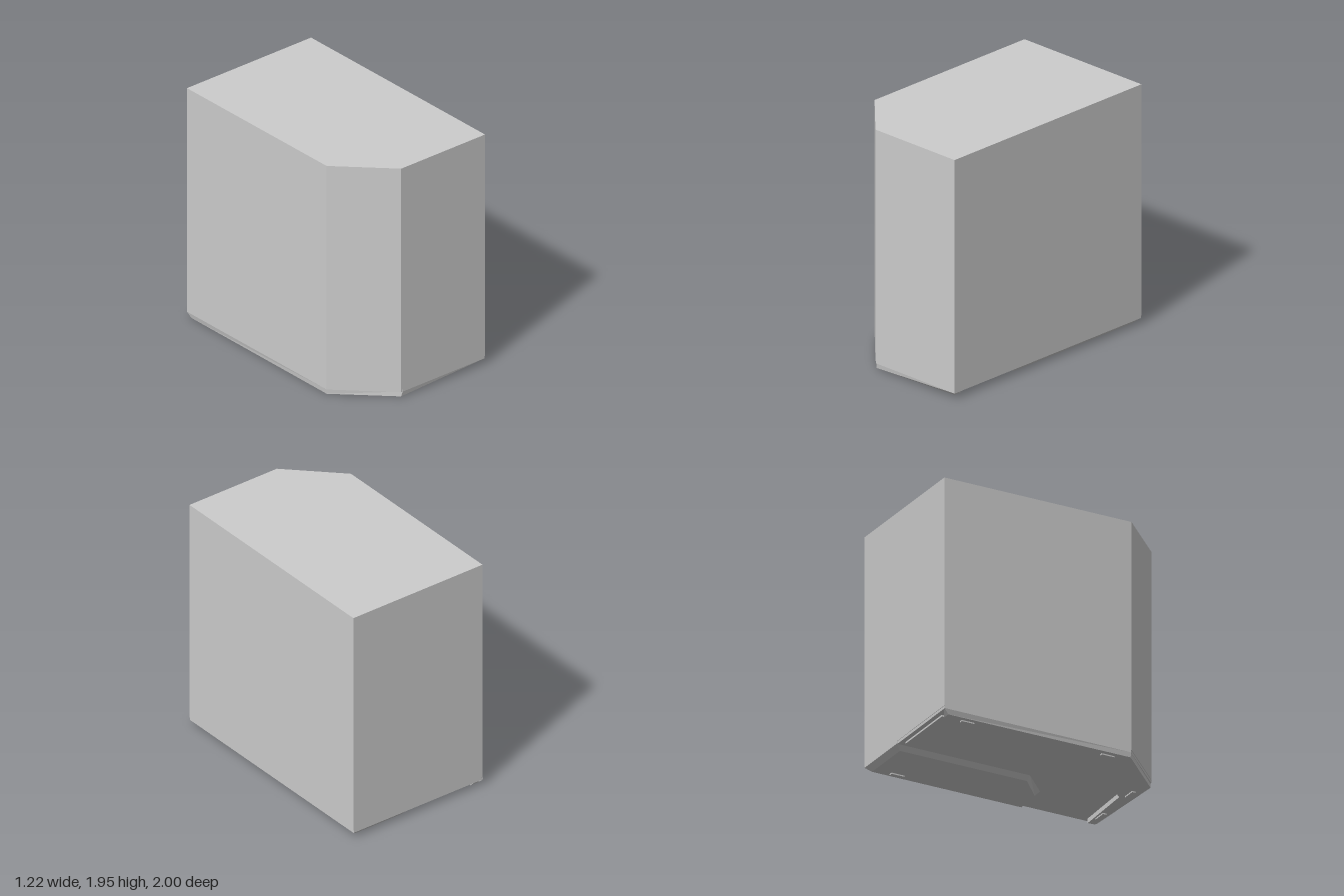
import * as THREE from 'three';

const material = new THREE.MeshStandardMaterial({ color: 0xcccccc, flatShading: true });

function add(group, name, geometry) {
  const mesh = new THREE.Mesh(geometry, material);
  mesh.name = name;
  group.add(mesh);
  return mesh;
}

// Upright prism from an outline in x and z
function prism(outline, bottom, top) {
  const shape = new THREE.Shape(outline.map(([x, z]) => new THREE.Vector2(x, z)));
  const geometry = new THREE.ExtrudeGeometry(shape, { depth: top - bottom, bevelEnabled: false });
  return geometry.rotateX(Math.PI / 2).translate(0, top, 0);
}

// Skin over convex cross-sections, closed at both ends
function loft(rings) {
  const pos = [];
  const tri = (a, b, c) => pos.push(...a, ...b, ...c);
  const n = rings[0].length;
  for (let i = 0; i < rings.length - 1; i++) {
    const p = rings[i], q = rings[i + 1];
    for (let j = 0; j < n; j++) {
      const k = (j + 1) % n;
      tri(p[j], q[j], q[k]);
      tri(p[j], q[k], p[k]);
    }
  }
  const first = rings[0], last = rings[rings.length - 1];
  for (let j = 1; j < n - 1; j++) {
    tri(first[0], first[j], first[j + 1]);
    tri(last[0], last[j + 1], last[j]);
  }
  const geometry = new THREE.BufferGeometry();
  geometry.setAttribute('position', new THREE.Float32BufferAttribute(pos, 3));
  geometry.computeVertexNormals();
  return geometry;
}

export function createModel() {
  const group = new THREE.Group();
  group.name = 'computerCase';
  const BODY = 0.07, DECK = 0.05, LOW = 0.01;

  // Tall case with one chamfered front corner, on a thin deck
  const footprint = [[0.61, -1], [0.61, 1], [-0.215, 1], [-0.61, 0.605], [-0.61, -1]];
  add(group, 'caseBody', prism(footprint, BODY, 1.95));
  add(group, 'bottomDeck', prism(footprint.map(([x, z]) => [x * 0.995, z * 0.997]), DECK - 0.002, BODY));

  // Base rim along the front, chamfer and one side:
  // outer top, outer bottom and inner corner of each section
  const rimSections = [
    { top: [0.605, 1], low: [0.56, 0.95], inner: [0.565, 0.89] },
    { top: [-0.2, 1], low: [-0.21, 0.993], inner: [0.05, 0.87] },
    { top: [-0.61, 0.6], low: [-0.605, 0.6], inner: [-0.5, 0.29] },
    { top: [-0.61, -1], low: [-0.6, -0.96], inner: [-0.53, -0.96] },
  ];
  add(group, 'baseRim', loft(rimSections.map(({ top, low, inner }) => [
    [top[0], BODY, top[1]],
    [top[0], DECK, top[1]],
    [low[0], LOW, low[1]],
    [inner[0], LOW, inner[1]],
    [inner[0], BODY, inner[1]],
  ])));

  // Bevelled plinth under the opposite side
  const plinthTop = [[0.605, -1], [0.605, 0.355], [0.32, 0.345], [0.11, 0.14], [0.11, -1]];
  const plinthLow = [[0.565, -0.96], [0.565, 0.32], [0.34, 0.31], [0.14, 0.13], [0.14, -0.96]];
  const ring = (outline, y) => outline.map(([x, z]) => [x, y, z]);
  add(group, 'sidePlinth', loft([ring(plinthLow, LOW), ring(plinthTop, DECK), ring(plinthTop, BODY)]));

  // Slide-in filter panel
  add(group, 'dustFilter', prism([[0.05, -0.96], [0.05, 0.1], [-0.5, 0.15], [-0.5, -0.96]], 0.033, DECK));

  // Thin pads: x, z, width, depth
  const pads = [
    [0.52, -0.77, 0.03, 0.11],
    [-0.55, -0.77, 0.03, 0.11],
    [-0.55, 0.43, 0.03, 0.11],
    [-0.04, 0.915, 0.11, 0.03],
    [0.405, 0.915, 0.11, 0.03],
  ];
  for (const [x, z, w, d] of pads) {
    add(group, 'footPad', new THREE.BoxGeometry(w, 0.014, d)).position.set(x, 0.007, z);
  }
  return group;
}
